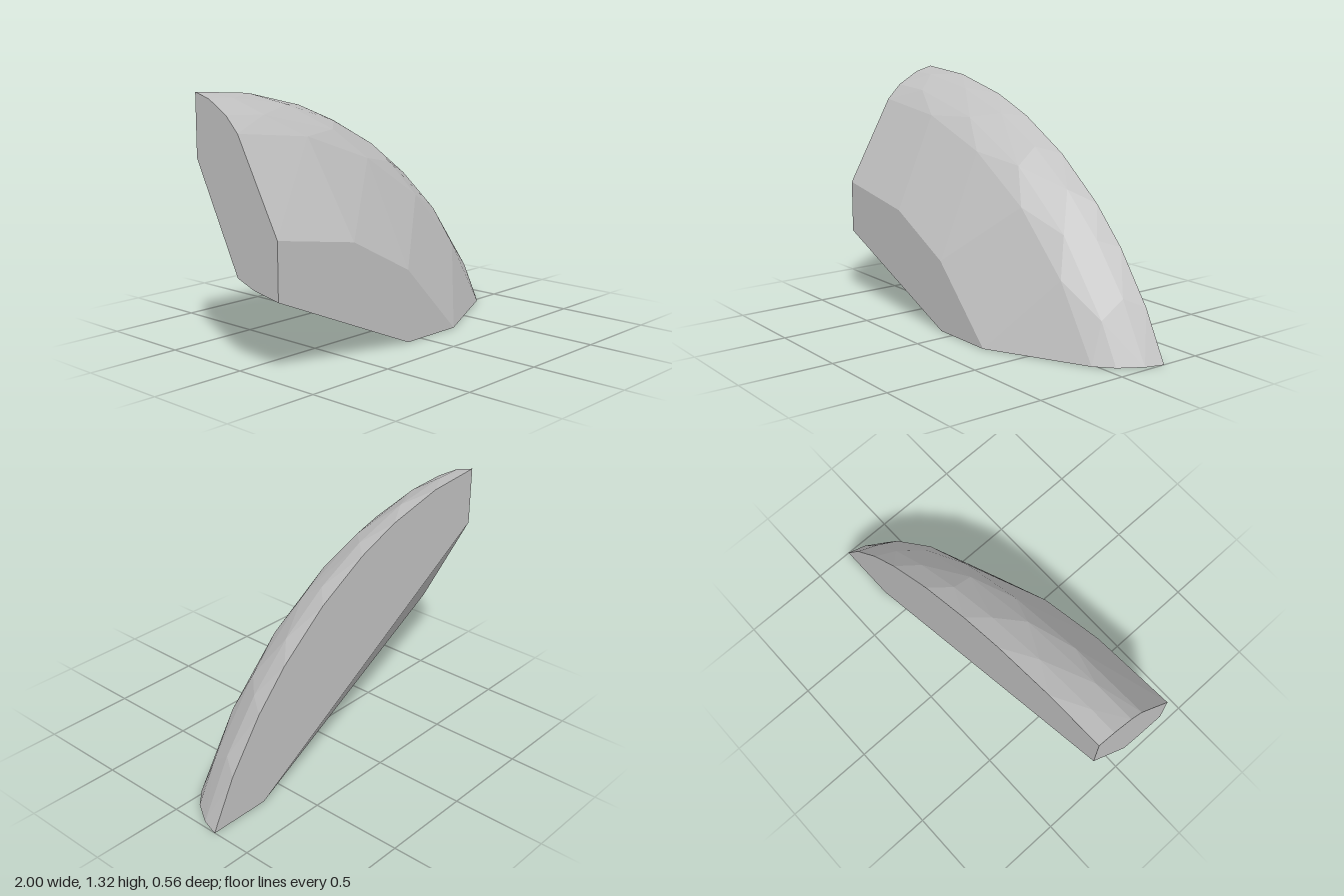
import * as THREE from 'three';
import { ConvexGeometry } from 'three/addons/geometries/ConvexGeometry.js';

// Axis of the curved shell, parallel to z
const CX = -1;
const CY = -0.863;

// One arc of the outer shell, from the x = -1 end face down to the y = 0 end face
function arc(z, radius, fractions) {
  const end = Math.acos(-CY / radius);
  return fractions.map((f) => new THREE.Vector3(
    CX + radius * Math.sin(f * end),
    Math.max(0, CY + radius * Math.cos(f * end)),
    z,
  ));
}

export function createModel() {
  const group = new THREE.Group();
  group.name = 'domeSegment';
  const grey = new THREE.MeshStandardMaterial({ color: 0xc0c0c0 });
  grey.name = 'plain grey';

  // Rounded outer shell: arcs from the front rim to the back rim
  const shell = [
    ...arc(0.28, 1.537, [0, 0.34, 0.64, 1]),
    ...arc(0.02, 2.003, [0, 0.2, 0.4, 0.6, 0.8, 1]),
    ...arc(-0.06, 2.083, [0, 0.1, 0.3, 0.5, 0.7, 0.9, 1]),
    ...arc(-0.18, 2.152, [0, 0.06, 0.2, 0.34, 0.47, 0.6, 0.73, 0.86, 1]),
    ...arc(-0.28, 2.18, [0, 0.13, 0.27, 0.375, 0.51, 0.65, 0.755, 0.885, 1]),
  ];

  // Sloping underside: its edges on the two flat end faces
  const underside = [
    [-1, 1.0, -0.28], [-1, 0.455, 0], [-1, 0.415, 0.11], [-1, 0.385, 0.28],
    [0.66, 0, -0.28], [0.055, 0, 0], [-0.01, 0, 0.07], [-0.1, 0, 0.28],
  ].map((p) => new THREE.Vector3(...p));

  // The solid is convex, so its facets follow from the corner points
  const segment = new THREE.Mesh(new ConvexGeometry([...shell, ...underside]), grey);
  segment.name = 'facetedSegment';
  group.add(segment);
  return group;
}
